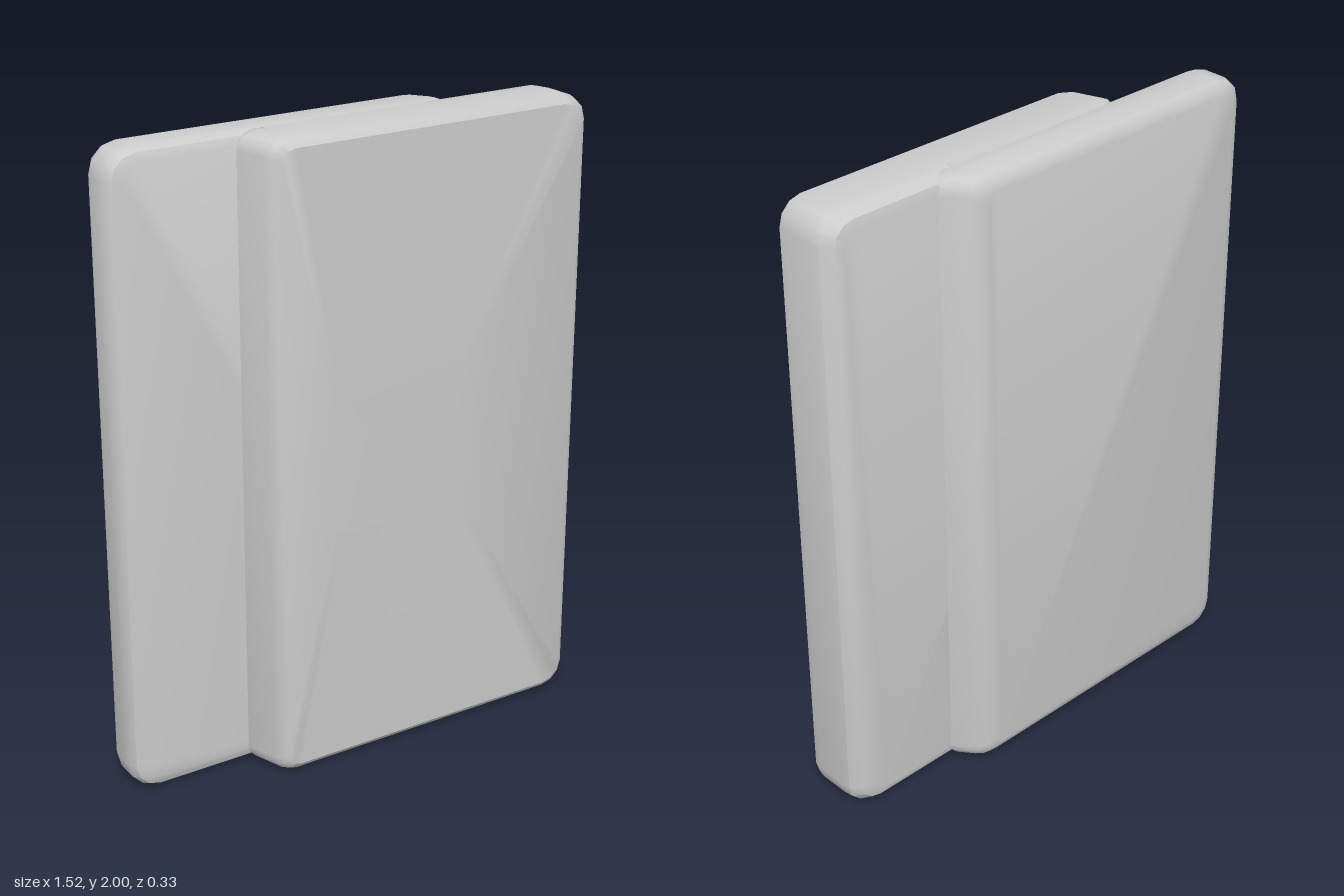
import * as THREE from 'three';
import { toCreasedNormals } from 'three/addons/utils/BufferGeometryUtils.js';

const HEIGHT = 2;
const STEPS = 3; // segments per rounded corner

// Rounded rectangle at depth z, counter-clockwise seen from +z
function ring({ z, x0, x1, y0, y1, rl, rr }) {
  const points = [];
  const corners = [
    [x1 - rr, y0 + rr, rr, -Math.PI / 2],
    [x1 - rr, y1 - rr, rr, 0],
    [x0 + rl, y1 - rl, rl, Math.PI / 2],
    [x0 + rl, y0 + rl, rl, Math.PI],
  ];
  for (const [cx, cy, r, start] of corners) {
    for (let i = 0; i <= STEPS; i++) {
      const a = start + (i / STEPS) * Math.PI / 2;
      points.push([cx + r * Math.cos(a), cy + r * Math.sin(a), z]);
    }
  }
  return points;
}

// Skin the rings from back to front and close both ends
function loft(name, layers, material) {
  const rings = layers.map(ring);
  const n = rings[0].length;
  const positions = rings.flat(2);
  const index = [];
  for (let k = 0; k < rings.length - 1; k++) {
    for (let i = 0; i < n; i++) {
      const a = k * n + i, b = k * n + (i + 1) % n;
      index.push(a, b, b + n, a, b + n, a + n);
    }
  }
  const last = (rings.length - 1) * n;
  for (let i = 1; i < n - 1; i++) {
    index.push(0, i + 1, i);
    index.push(last, last + i, last + i + 1);
  }
  const geometry = new THREE.BufferGeometry();
  geometry.setAttribute('position', new THREE.Float32BufferAttribute(positions, 3));
  geometry.setIndex(index);
  const mesh = new THREE.Mesh(toCreasedNormals(geometry, 0.6), material);
  mesh.name = name;
  return mesh;
}

// Layer from depth, side limits, inset at top and bottom, and corner radii
const layer = (z, x0, x1, inset, rl, rr) =>
  ({ z, x0, x1, y0: inset, y1: HEIGHT - inset, rl, rr });

export function createModel() {
  const group = new THREE.Group();
  group.name = 'slidingCase';
  const material = new THREE.MeshStandardMaterial({ color: 0xcccccc });

  // Front cover with slanted inner edge and a gently domed face
  group.add(loft('frontCover', [
    layer(-0.075, -0.30, 0.70, 0.045, 0.03, 0.06),
    layer(-0.066, -0.32, 0.73, 0.02, 0.04, 0.07),
    layer(-0.035, -0.35, 0.757, 0.003, 0.05, 0.08),
    layer(0, -0.37, 0.76, 0, 0.05, 0.08),
    layer(0.1, -0.337, 0.76, 0, 0.05, 0.08),
    layer(0.127, -0.325, 0.755, 0.007, 0.05, 0.075),
    layer(0.142, -0.305, 0.735, 0.025, 0.04, 0.065),
    { z: 0.165, x0: -0.15, x1: 0.3, y0: 0.78, y1: 1.24, rl: 0.02, rr: 0.02 },
  ], material));

  // Back cover with slanted step on its inner edge
  group.add(loft('backCover', [
    layer(-0.167, -0.71, 0.27, 0.045, 0.06, 0.03),
    layer(-0.159, -0.735, 0.30, 0.022, 0.07, 0.04),
    layer(-0.14, -0.757, 0.325, 0.004, 0.085, 0.05),
    layer(-0.12, -0.764, 0.34, 0, 0.09, 0.05),
    layer(-0.075, -0.765, 0.375, 0, 0.09, 0.05),
    layer(-0.04, -0.765, 0.375, 0, 0.09, 0.05),
    layer(-0.015, -0.752, 0.34, 0.012, 0.08, 0.04),
    layer(-0.003, -0.72, 0.30, 0.035, 0.06, 0.03),
  ], material));

  // Core that joins both covers flush at top and bottom
  const core = new THREE.Mesh(new THREE.BoxGeometry(0.56, HEIGHT - 0.002, 0.22), material);
  core.name = 'core';
  core.position.set(0.01, HEIGHT / 2, -0.01);
  group.add(core);

  return group;
}
